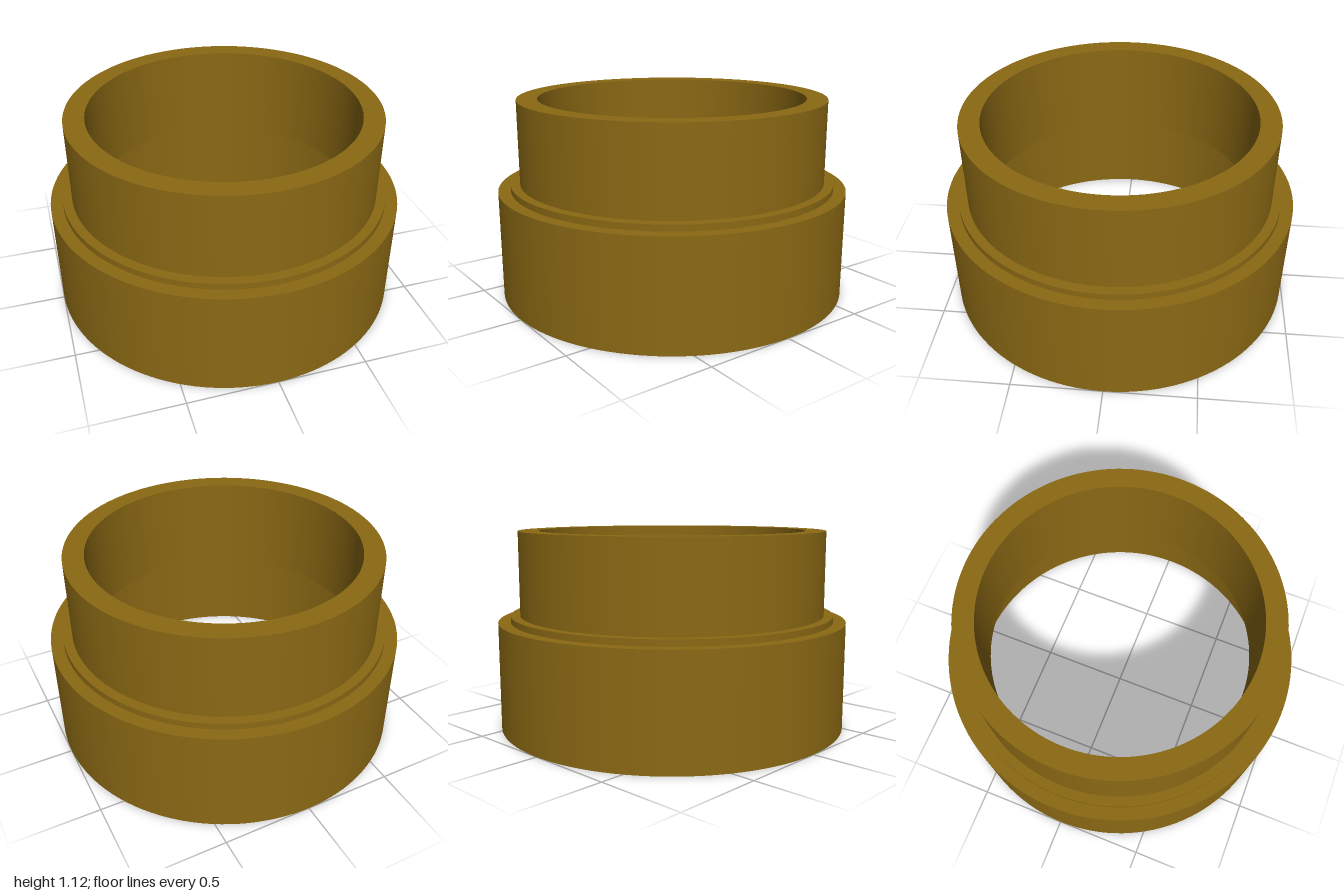
import * as THREE from 'three';

const SEGMENTS = 128;

// Revolves each pair of points separately, so corners stay sharp and the round walls smooth.
function turned(name, points, material) {
  const part = new THREE.Group();
  part.name = name;
  for (let i = 0; i < points.length - 1; i++) {
    const pair = [points[i], points[i + 1]].map(([r, y]) => new THREE.Vector2(r, y));
    const mesh = new THREE.Mesh(new THREE.LatheGeometry(pair, SEGMENTS), material);
    mesh.name = `${name}Face${i + 1}`;
    part.add(mesh);
  }
  return part;
}

export function createModel() {
  const model = new THREE.Group();
  model.name = 'steppedCollar';
  const bronze = new THREE.MeshStandardMaterial({ color: 0x8b6914 });
  bronze.name = 'bronze';

  const bore = 0.76, socket = 0.935, neck = 0.877, step = 0.93;
  const shelfY = 0.58, shoulderY = 0.61, stepY = 0.645, topY = 1.12;

  // Wide lower sleeve: inner shelf, socket wall, bottom rim, outer wall, shoulder
  model.add(turned('lowerSleeve', [
    [bore, shelfY], [socket, shelfY], [socket, 0], [1, 0], [1, shoulderY], [step, shoulderY],
  ], bronze));

  // Thin raised step between the sleeve and the neck
  model.add(turned('stepRing', [[step, shoulderY], [step, stepY], [neck, stepY]], bronze));

  // Narrow upper neck: outer wall, top rim, bore
  model.add(turned('upperNeck', [[neck, stepY], [neck, topY], [bore, topY], [bore, shelfY]], bronze));

  return model;
}
